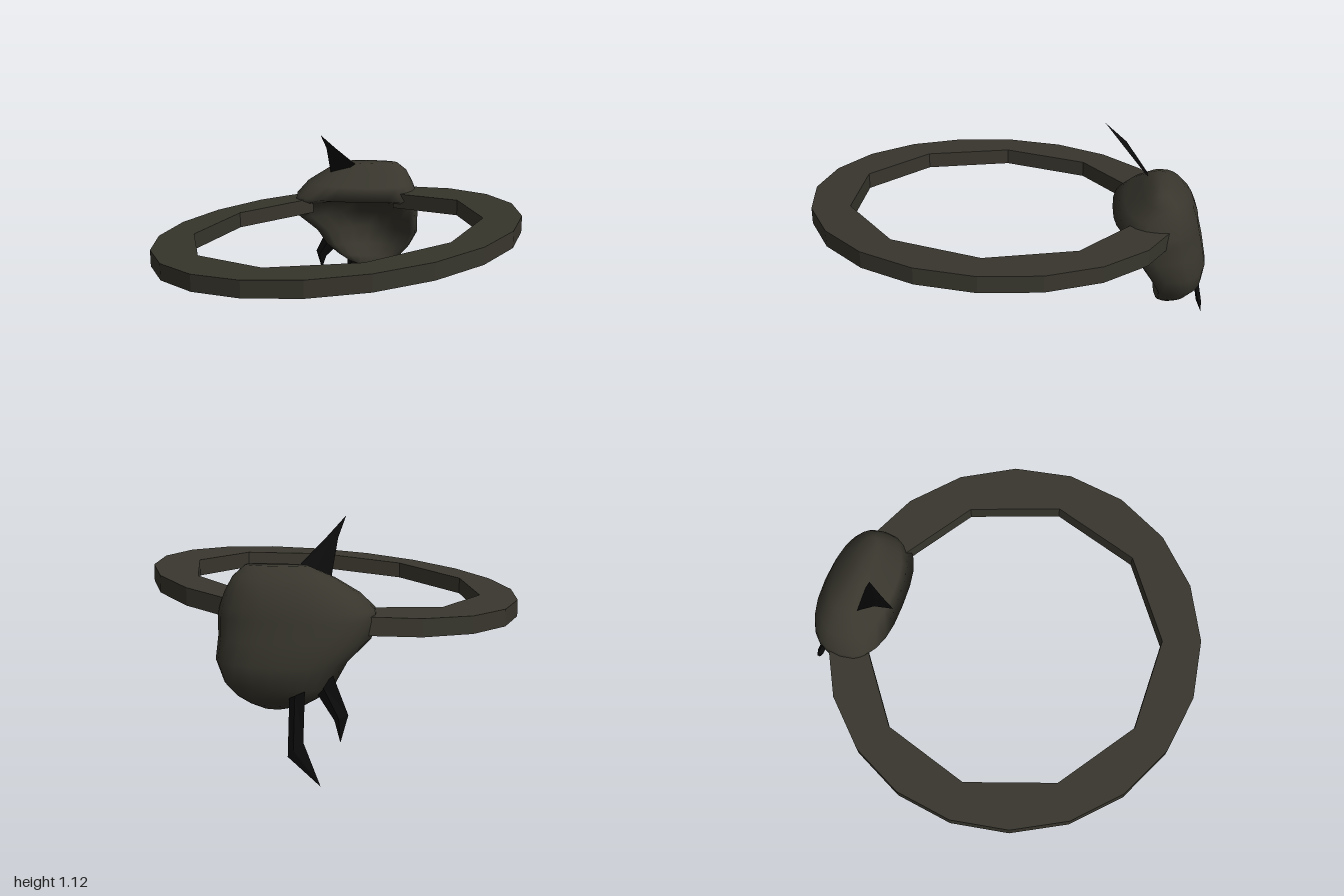
import * as THREE from 'three';

const stone = new THREE.MeshStandardMaterial({ color: 0x38362d });
stone.name = 'darkStone';
const black = new THREE.MeshStandardMaterial({ color: 0x0b0b0c });
black.name = 'black';
black.side = THREE.DoubleSide;

function mesh(name, geometry, material) {
  const m = new THREE.Mesh(geometry, material);
  m.name = name;
  return m;
}

// Open band: 18 outer sides, 9 inner sides, ends buried in the hood
function ringGeometry() {
  const at = (k, r) => {
    const a = THREE.MathUtils.degToRad(7.3 + 18 * k);
    return new THREE.Vector2(r * Math.sin(a), 0.055 + r * Math.cos(a));
  };
  const pts = [];
  for (let k = 12; k <= 30; k++) pts.push(at(k, 0.945));
  for (let k = 30; k >= 12; k -= 2) pts.push(at(k, 0.752));
  const g = new THREE.ExtrudeGeometry(new THREE.Shape(pts), { depth: 0.085, bevelEnabled: false });
  g.translate(0, 0, -0.0425);
  g.rotateX(Math.PI / 2);
  // tilt the band
  const p = g.attributes.position;
  for (let i = 0; i < p.count; i++) {
    p.setY(i, p.getY(i) + 0.716 + 0.096 * p.getX(i) - 0.02 * p.getZ(i));
  }
  g.computeVertexNormals();
  return g;
}

// Hood: rounded horizontal sections, hollowed on the side facing the ring's centre
function hoodGeometry() {
  // y, centre x, centre z, half length, half depth, hollow
  const levels = [
    [0.27, -0.28, -0.78, 0.05, 0.03, 0],
    [0.30, -0.31, -0.79, 0.13, 0.07, 0.1],
    [0.34, -0.32, -0.80, 0.19, 0.11, 0.5],
    [0.40, -0.33, -0.80, 0.25, 0.16, 1.0],
    [0.50, -0.315, -0.765, 0.30, 0.21, 1.4],
    [0.60, -0.335, -0.695, 0.35, 0.245, 1.35],
    [0.69, -0.335, -0.68, 0.362, 0.235, 1.0],
    [0.73, -0.335, -0.68, 0.355, 0.228, 0.1],
    [0.80, -0.33, -0.71, 0.31, 0.175, 0],
    [0.87, -0.305, -0.74, 0.235, 0.11, 0],
    [0.92, -0.265, -0.74, 0.145, 0.05, 0],
  ];
  const n = 24, pos = [], idx = [];
  for (const [y, cx, cz, hu, hv, hollow] of levels) {
    for (let i = 0; i < n; i++) {
      const a = (i / n) * Math.PI * 2;
      const c = Math.cos(a), s = Math.sin(a);
      const cu = Math.sign(c) * Math.abs(c) ** 0.85;
      let sv = Math.sign(s) * Math.abs(s) ** 0.85;
      if (s < 0) sv *= 1 - hollow * (1 - cu * cu) * (1 + 0.2 * cu);
      const u = cu * hu, v = sv * hv;
      pos.push(cx + 0.91 * u - 0.42 * v, y, cz - 0.42 * u - 0.91 * v);
    }
  }
  const last = levels.length - 1;
  for (let j = 0; j < last; j++) {
    for (let i = 0; i < n; i++) {
      const a = j * n + i, b = j * n + (i + 1) % n;
      idx.push(a, b + n, b, a, a + n, b + n);
    }
  }
  // closing points at the bottom and top
  const low = pos.length / 3;
  for (const j of [0, last]) pos.push(levels[j][1], levels[j][0], levels[j][2]);
  for (let i = 0; i < n; i++) {
    const k = (i + 1) % n;
    idx.push(low, i, k, low + 1, last * n + k, last * n + i);
  }
  // turn every face outwards
  for (let t = 0; t < idx.length; t += 3) [idx[t + 1], idx[t + 2]] = [idx[t + 2], idx[t + 1]];
  const g = new THREE.BufferGeometry();
  g.setAttribute('position', new THREE.Float32BufferAttribute(pos, 3));
  g.setIndex(idx);
  g.computeVertexNormals();
  return g;
}

// Bent horn: pairs of edge points, a ridge on each side, running to a tip
function hornGeometry(pairs, tip, thick) {
  const t = new THREE.Vector3(...thick);
  const rings = pairs.map(([l, r]) => {
    const L = new THREE.Vector3(...l), R = new THREE.Vector3(...r);
    const mid = L.clone().add(R).multiplyScalar(0.5);
    return [L, mid.clone().add(t), R, mid.clone().sub(t)];
  });
  const end = new THREE.Vector3(...tip);
  rings.push([end, end, end, end]);
  const pts = [];
  for (let j = 0; j < rings.length - 1; j++) {
    for (let i = 0; i < 4; i++) {
      const k = (i + 1) % 4, a = rings[j], b = rings[j + 1];
      pts.push(a[i], a[k], b[k]);
      if (j < rings.length - 2) pts.push(a[i], b[k], b[i]);
    }
  }
  const [p, q, r, s] = rings[0];
  pts.push(p, r, q, p, s, r);
  const g = new THREE.BufferGeometry().setFromPoints(pts);
  g.computeVertexNormals();
  return g;
}

export function createModel() {
  const model = new THREE.Group();
  model.name = 'hornedRing';
  model.add(mesh('ringBand', ringGeometry(), stone));
  model.add(mesh('hood', hoodGeometry(), stone));

  const horns = {
    topHorn: [[
      [[-0.46, 0.86, -0.59], [-0.32, 0.92, -0.635]],
      [[-0.415, 1.03, -0.48], [-0.355, 1.03, -0.49]],
    ], [-0.38, 1.125, -0.37], [0, 0.02, 0.02]],
    innerHorn: [[
      [[-0.58, 0.46, -0.77], [-0.43, 0.39, -0.80]],
      [[-0.56, 0.51, -0.74], [-0.47, 0.47, -0.77]],
    ], [-0.535, 0.575, -0.73], [0.01, 0.01, 0.03]],
    longLowerHorn: [[
      [[-0.53, 0.40, -0.87], [-0.45, 0.36, -0.88]],
      [[-0.54, 0.18, -0.895], [-0.485, 0.115, -0.935]],
    ], [-0.635, 0.0, -0.895], [0, 0, 0.015]],
    shortLowerHorn: [[
      [[-0.60, 0.46, -0.76], [-0.52, 0.38, -0.78]],
      [[-0.69, 0.30, -0.77], [-0.63, 0.27, -0.79]],
    ], [-0.67, 0.18, -0.80], [0, 0, 0.02]],
  };
  for (const [name, [pairs, tip, thick]] of Object.entries(horns)) {
    model.add(mesh(name, hornGeometry(pairs, tip, thick), black));
  }
  return model;
}
